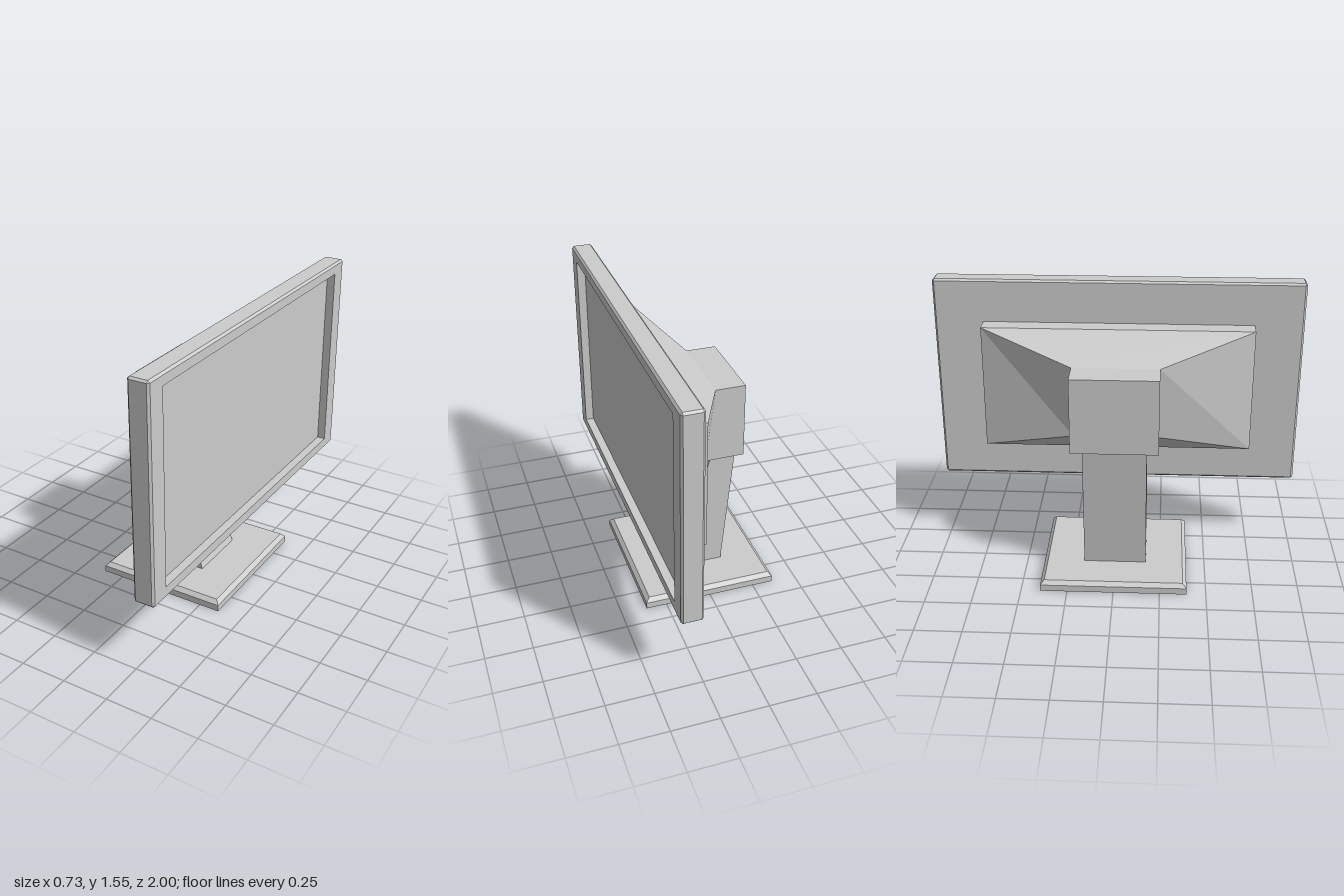
import * as THREE from 'three';

const material = new THREE.MeshStandardMaterial({ color: 0xcccccc, flatShading: true });

// Rectangle across the x axis; xTop slants it, c cuts its corners
function ringX(x, y0, y1, z, { xTop = x, c = 0 } = {}) {
  const corners = [
    [y0, -z + c], [y0 + c, -z], [y1 - c, -z], [y1, -z + c],
    [y1, z - c], [y1 - c, z], [y0 + c, z], [y0, z - c],
  ];
  return corners.map(([y, w]) =>
    new THREE.Vector3(THREE.MathUtils.mapLinear(y, y0, y1, x, xTop), y, w));
}

// Rectangle across the y axis
function ringY(y, x0, x1, z) {
  return [[x0, -z], [x0, z], [x1, z], [x1, -z]].map(([x, w]) => new THREE.Vector3(x, y, w));
}

// Skin a row of rings and cap both ends
function loft(name, rings) {
  const pos = [];
  const tri = (a, b, c) => {
    if (new THREE.Triangle(a, b, c).getArea() < 1e-9) return;
    for (const p of [a, b, c]) pos.push(p.x, p.y, p.z);
  };
  const n = rings[0].length;
  for (let i = 0; i < rings.length - 1; i++) {
    const lo = rings[i], hi = rings[i + 1];
    for (let j = 0; j < n; j++) {
      const k = (j + 1) % n;
      tri(lo[j], lo[k], hi[k]);
      tri(lo[j], hi[k], hi[j]);
    }
  }
  const first = rings[0], last = rings[rings.length - 1];
  for (let j = 1; j < n - 1; j++) {
    tri(first[0], first[j + 1], first[j]);
    tri(last[0], last[j], last[j + 1]);
  }
  const geometry = new THREE.BufferGeometry();
  geometry.setAttribute('position', new THREE.Float32BufferAttribute(pos, 3));
  geometry.computeVertexNormals();
  const mesh = new THREE.Mesh(geometry, material);
  mesh.name = name;
  return mesh;
}

export function createModel() {
  const model = new THREE.Group();
  model.name = 'monitor';

  // Bevelled panel whose last rings step back into the screen recess
  const b = 0.011;
  model.add(loft('screenPanel', [
    ringX(0.248, 0.398 + b, 1.552 - b, 1 - b),
    ringX(0.248 + b, 0.398, 1.552, 1, { c: b }),
    ringX(0.362 - b, 0.398, 1.552, 1, { c: b }),
    ringX(0.362, 0.398 + b, 1.552 - b, 1 - b),
    ringX(0.362, 0.46, 1.492, 0.892),
    ringX(0.317, 0.46, 1.492, 0.892),
  ]));

  // Rear housing tapering to the mount block
  model.add(loft('rearHousing', [
    ringX(-0.235, 0.768, 1.182, 0.232),
    ringX(-0.02, 0.768, 1.182, 0.232, { xTop: -0.072 }),
    ringX(0.145, 0.632, 1.318, 0.733),
    ringX(0.25, 0.632, 1.318, 0.733),
  ]));

  // Leaning stand neck
  model.add(loft('standNeck', [
    ringY(0.056, -0.14, 0.133, 0.17),
    ringY(0.77, -0.212, -0.082, 0.17),
  ]));

  // Foot plate with bevelled top edge
  model.add(loft('standBase', [
    ringY(0, -0.364, 0.362, 0.395),
    ringY(0.036, -0.364, 0.362, 0.395),
    ringY(0.057, -0.343, 0.341, 0.374),
  ]));

  return model;
}
